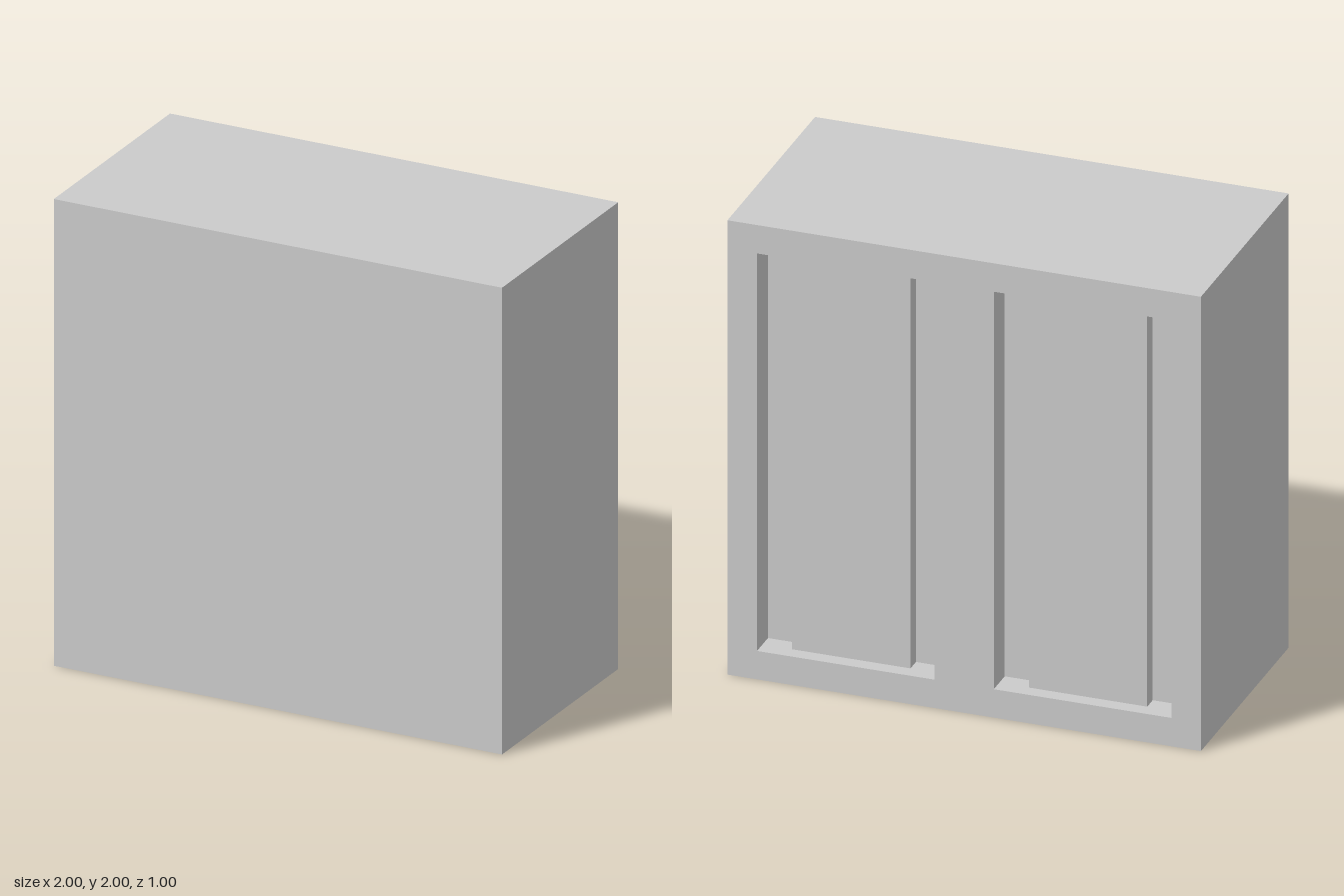
import * as THREE from 'three';

const W = 2, H = 2, D = 1;          // overall size
const RIM = 0.125;                  // frame width and recess depth
const OPEN_W = 0.75, OPEN_H = H - 2 * RIM;
const PANEL_W = 0.5, PANEL_D = 0.0625;
const SIDES = [['right', -1], ['left', 1]];

function rectangle(path, cx, cy, w, h) {
  const x = w / 2, y = h / 2;
  path.moveTo(cx - x, cy - y);
  path.lineTo(cx + x, cy - y);
  path.lineTo(cx + x, cy + y);
  path.lineTo(cx - x, cy + y);
  path.closePath();
  return path;
}

export function createModel() {
  const group = new THREE.Group();
  const material = new THREE.MeshStandardMaterial({ color: 0xcccccc });
  const add = (name, geometry, x, y, z) => {
    const mesh = new THREE.Mesh(geometry, material);
    mesh.name = name;
    mesh.position.set(x, y, z);
    group.add(mesh);
  };

  // Solid block behind the recesses
  add('body', new THREE.BoxGeometry(W, H, D - RIM), 0, H / 2, RIM / 2);

  // Back frame with two tall openings
  const outline = rectangle(new THREE.Shape(), 0, H / 2, W, H);
  for (const [, s] of SIDES) {
    outline.holes.push(rectangle(new THREE.Path(), s * 0.5, H / 2, OPEN_W, OPEN_H));
  }
  add('backFrame', new THREE.ExtrudeGeometry(outline, { depth: RIM, bevelEnabled: false }), 0, 0, -D / 2);

  // Raised panel in the middle of each recess, floor to ceiling
  for (const [side, s] of SIDES) {
    add(`${side}Panel`, new THREE.BoxGeometry(PANEL_W, OPEN_H, PANEL_D),
      s * 0.5, H / 2, -D / 2 + RIM - PANEL_D / 2);
  }
  return group;
}
